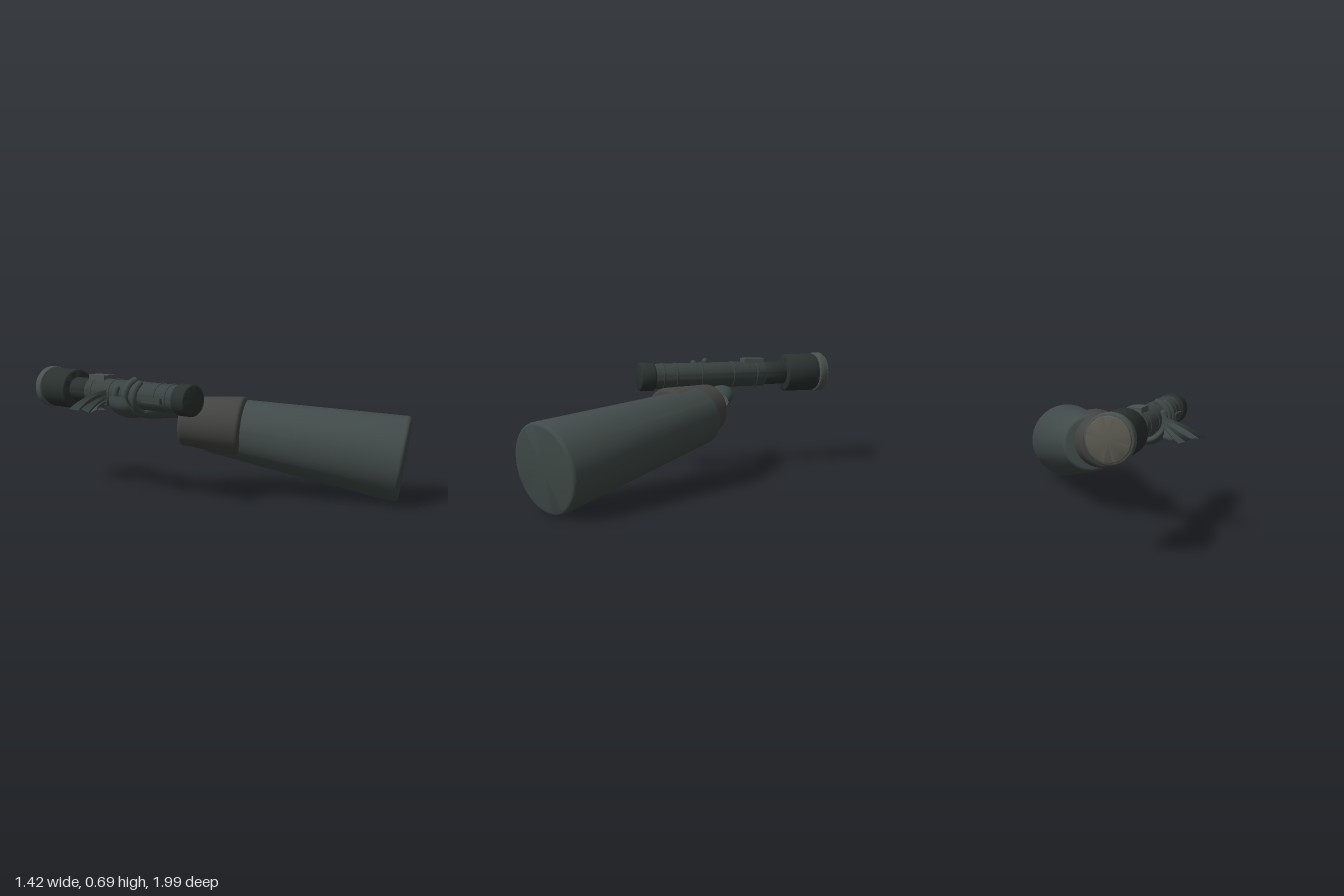
import * as THREE from 'three';
import { toCreasedNormals } from 'three/addons/utils/BufferGeometryUtils.js';

const mat = (color, side = THREE.FrontSide) => new THREE.MeshStandardMaterial({ color, side });
const cloth = mat(0x414b49), cuffMat = mat(0x444442), skin = mat(0x3f4947, THREE.DoubleSide);
const metal = mat(0x3a4341), dark = mat(0x2a312f), rim = mat(0x4a524e), glass = mat(0x5c5b52);

function add(parent, name, geometry, material) {
  const m = new THREE.Mesh(geometry, material);
  m.name = name;
  parent.add(m);
  return m;
}

// Solid of revolution with rounded rims, running from point a (radius ra) to b (radius rb)
function turned(parent, name, a, b, ra, rb, bevel, material) {
  const start = new THREE.Vector3(...a), dir = new THREE.Vector3(...b).sub(start);
  const len = dir.length(), pts = [new THREE.Vector2(0, 0)];
  for (let i = 0; i <= 4; i++) {
    const t = (i / 4) * Math.PI / 2;
    pts.push(new THREE.Vector2(ra - bevel * (1 - Math.sin(t)), bevel * (1 - Math.cos(t))));
  }
  for (let i = 0; i <= 4; i++) {
    const t = (i / 4) * Math.PI / 2;
    pts.push(new THREE.Vector2(rb - bevel * (1 - Math.cos(t)), len - bevel * (1 - Math.sin(t))));
  }
  pts.push(new THREE.Vector2(0, len));
  const m = add(parent, name, toCreasedNormals(new THREE.LatheGeometry(pts, 48), 0.7), material);
  m.position.copy(start);
  m.quaternion.setFromUnitVectors(new THREE.Vector3(0, 1, 0), dir.normalize());
  return m;
}

// Loft of elliptical sections along a path; each section is [x, y, z, thickness, width]
function loft(sections, sides = 20, steps = 24) {
  const path = new THREE.CatmullRomCurve3(sections.map(s => new THREE.Vector3(s[0], s[1], s[2])));
  const size = new THREE.CatmullRomCurve3(sections.map(s => new THREE.Vector3(s[3], s[4], 0)));
  const pos = [], index = [];
  for (let i = 0; i <= steps; i++) {
    const p = path.getPoint(i / steps), r = size.getPoint(i / steps), d = path.getTangent(i / steps);
    const up = new THREE.Vector3(-d.y, d.x, 0).normalize();
    const across = new THREE.Vector3().crossVectors(d, up).normalize();
    for (let j = 0; j < sides; j++) {
      const a = (j / sides) * Math.PI * 2;
      const v = p.clone().addScaledVector(up, Math.cos(a) * r.x).addScaledVector(across, Math.sin(a) * r.y);
      pos.push(v.x, v.y, v.z);
      if (i < steps) {
        const k = (j + 1) % sides, q = i * sides;
        index.push(q + j, q + k, q + sides + j, q + k, q + sides + k, q + sides + j);
      }
    }
  }
  const g = new THREE.BufferGeometry();
  g.setAttribute('position', new THREE.Float32BufferAttribute(pos, 3));
  g.setIndex(index);
  g.computeVertexNormals();
  return g;
}

export function createModel() {
  const model = new THREE.Group();
  model.name = 'armWithTorch';

  // Flared sleeve and the inner cuff
  turned(model, 'sleeve', [0.01, 0.392, -0.075], [0.51, 0.237, 0.885], 0.158, 0.235, 0.02, cloth);
  turned(model, 'cuff', [-0.105, 0.415, -0.172], [0.062, 0.39, 0.135], 0.138, 0.166, 0.022, cuffMat);

  // Torch, built along z
  const torch = new THREE.Group();
  torch.name = 'torch';
  torch.position.set(-0.385, 0.575, 0);
  model.add(torch);
  const tube = (name, z0, z1, r, bevel, m) => turned(torch, name, [0, 0, z0], [0, 0, z1], r, r, bevel, m);
  tube('tailCap', 0.085, 0.178, 0.084, 0.012, dark);
  tube('torchBody', -0.605, 0.09, 0.075, 0.006, metal);
  tube('torchNeck', -0.75, -0.6, 0.068, 0.005, dark);
  tube('torchHead', -0.935, -0.738, 0.113, 0.012, dark);
  tube('headSeat', -0.95, -0.93, 0.106, 0.003, dark);
  tube('lensRim', -0.988, -0.942, 0.119, 0.008, rim);
  tube('lens', -1.0, -0.98, 0.106, 0.004, glass);
  for (const z of [0.035, -0.045, -0.2, -0.4, -0.55]) tube('bodyRing', z - 0.006, z + 0.006, 0.079, 0.003, metal);

  // Switch on top and a slim rail on the side
  add(torch, 'switch', new THREE.BoxGeometry(0.075, 0.04, 0.125), rim).position.set(0, 0.074, -0.535);
  add(torch, 'sideRail', new THREE.BoxGeometry(0.022, 0.03, 0.14), metal).position.set(-0.078, -0.01, -0.05);

  // Hand reaching from the cuff and cupping the torch from below
  const hand = new THREE.Group();
  hand.name = 'hand';
  model.add(hand);
  add(hand, 'palm', loft([
    [-0.05, 0.46, -0.2, 0.045, 0.06], [-0.13, 0.475, -0.25, 0.05, 0.066], [-0.22, 0.478, -0.28, 0.052, 0.072],
    [-0.32, 0.475, -0.3, 0.034, 0.076], [-0.41, 0.478, -0.3, 0.026, 0.085],
    [-0.465, 0.52, -0.3, 0.02, 0.08], [-0.482, 0.575, -0.3, 0.008, 0.06]]), skin);

  // Fingers curling round the barrel
  [[-0.35, 155], [-0.265, 105], [-0.2, 125]].forEach(([z, end]) => {
    const pts = [];
    for (let i = 0; i <= 8; i++) {
      const a = THREE.MathUtils.degToRad(265 + (end - 265) * i / 8);
      pts.push(new THREE.Vector3(-0.385 + 0.083 * Math.cos(a), 0.575 + 0.083 * Math.sin(a), z + 0.025 * i / 8));
    }
    const curve = new THREE.CatmullRomCurve3(pts);
    add(hand, 'finger', new THREE.TubeGeometry(curve, 24, 0.019, 10), skin);
    add(hand, 'fingertip', new THREE.SphereGeometry(0.019, 12, 8), skin).position.copy(pts[8]);
  });

  // Pleated fin fanning out from the back of the hand
  const tips = [[-0.71, 0.513], [-0.665, 0.503], [-0.625, 0.505], [-0.595, 0.485], [-0.565, 0.477],
    [-0.54, 0.495], [-0.515, 0.49], [-0.48, 0.49]];
  const pos = [], index = [], rows = 6;
  tips.forEach(([x, y], i) => {
    const rootX = -0.48, rootY = 0.602 - i * 0.012;
    for (let j = 0; j <= rows; j++) {
      const t = j / rows, pleat = (i % 2 ? 0.014 : -0.01) * t;
      pos.push(rootX + (x - rootX) * t, rootY + (y - rootY) * t + 0.012 * Math.sin(t * Math.PI) * (i < 2 ? 1 : 0),
        -0.385 - 0.035 * Math.sin(t * 2) + pleat);
      if (i < tips.length - 1 && j < rows) {
        const a = i * (rows + 1) + j, b = a + rows + 1;
        index.push(a, a + 1, b, b, a + 1, b + 1);
      }
    }
  });
  const fin = new THREE.BufferGeometry();
  fin.setAttribute('position', new THREE.Float32BufferAttribute(pos, 3));
  fin.setIndex(index);
  add(hand, 'fin', toCreasedNormals(fin, 0.5), skin);
  return model;
}
